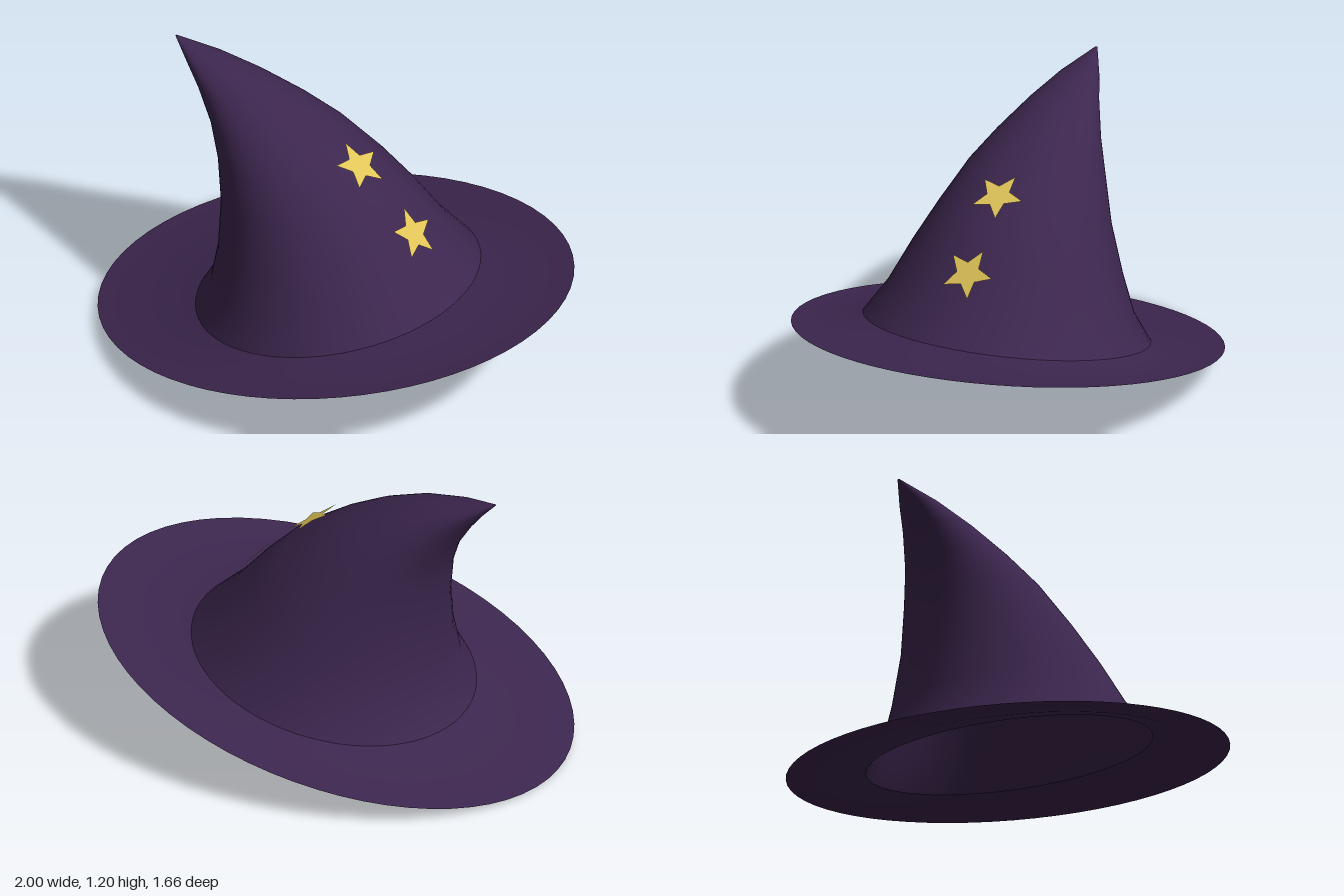
import * as THREE from 'three';

const cloth = new THREE.MeshStandardMaterial({ color: 0x3c264e, side: THREE.DoubleSide });
cloth.name = 'purple cloth';
const gold = new THREE.MeshStandardMaterial({ color: 0xe0c458, side: THREE.DoubleSide });
gold.name = 'gold';

// Skin through tilted ellipses, each [left x, left y, right x, right y, half depth]
function loft(rings, sides = 64) {
  const position = [], index = [];
  rings.forEach(([lx, ly, rx, ry, depth], i) => {
    for (let j = 0; j < sides; j++) {
      const a = (j / sides) * Math.PI * 2;
      const t = (1 + Math.cos(a)) / 2;
      position.push(lx + (rx - lx) * t, ly + (ry - ly) * t, depth * Math.sin(a));
      if (i === rings.length - 1) continue;
      const p = i * sides + j, q = i * sides + (j + 1) % sides;
      index.push(p, p + sides, q, q, p + sides, q + sides);
    }
  });
  const geometry = new THREE.BufferGeometry();
  geometry.setAttribute('position', new THREE.Float32BufferAttribute(position, 3));
  geometry.setIndex(index);
  geometry.computeVertexNormals();
  return geometry;
}

function starGeometry(radius) {
  const shape = new THREE.Shape();
  for (let i = 0; i < 10; i++) {
    const r = i % 2 ? radius * 0.45 : radius;
    const a = Math.PI / 2 + (i * Math.PI) / 5;
    shape[i ? 'lineTo' : 'moveTo'](r * Math.cos(a), r * Math.sin(a));
  }
  shape.closePath();
  return new THREE.ShapeGeometry(shape);
}

export function createModel() {
  const hat = new THREE.Group();
  hat.name = 'pointedHat';
  const add = (name, geometry, material) => {
    const mesh = new THREE.Mesh(geometry, material);
    mesh.name = name;
    hat.add(mesh);
    return mesh;
  };

  const base = [-0.56, 0.13, 0.58, 0.4, 0.58];

  // Thin tilted brim, slightly raised where it meets the crown
  add('brim', loft([
    [-1, 0, 1, 0.46, 0.83],
    [-0.78, 0.05, 0.79, 0.412, 0.7],
    base,
  ]), cloth);

  // Hollow crown bending over to a point
  add('crown', loft([
    base,
    [-0.5, 0.24, 0.44, 0.53, 0.5],
    [-0.475, 0.4, 0.31, 0.68, 0.43],
    [-0.478, 0.61, 0.18, 0.81, 0.35],
    [-0.505, 0.8, 0.01, 0.925, 0.28],
    [-0.555, 0.935, -0.14, 1.01, 0.21],
    [-0.63, 1.05, -0.32, 1.09, 0.138],
    [-0.69, 1.125, -0.53, 1.15, 0.078],
    [-0.755, 1.195, -0.75, 1.197, 0.004],
  ]), cloth);

  // Flat stars lying on the outer slope: [name, x, y, normal x, normal y]
  const star = starGeometry(0.11);
  for (const [name, x, y, nx, ny] of [
    ['upperStar', 0.105, 0.877, 0.11, 0.17],
    ['lowerStar', 0.362, 0.637, 0.16, 0.14],
  ]) {
    const normal = new THREE.Vector3(nx, ny, 0).normalize();
    const up = new THREE.Vector3(0, 0, -1);
    const across = new THREE.Vector3().crossVectors(up, normal);
    const mesh = add(name, star, gold);
    mesh.quaternion.setFromRotationMatrix(new THREE.Matrix4().makeBasis(across, up, normal));
    mesh.position.set(x, y, -0.01);
  }
  return hat;
}
